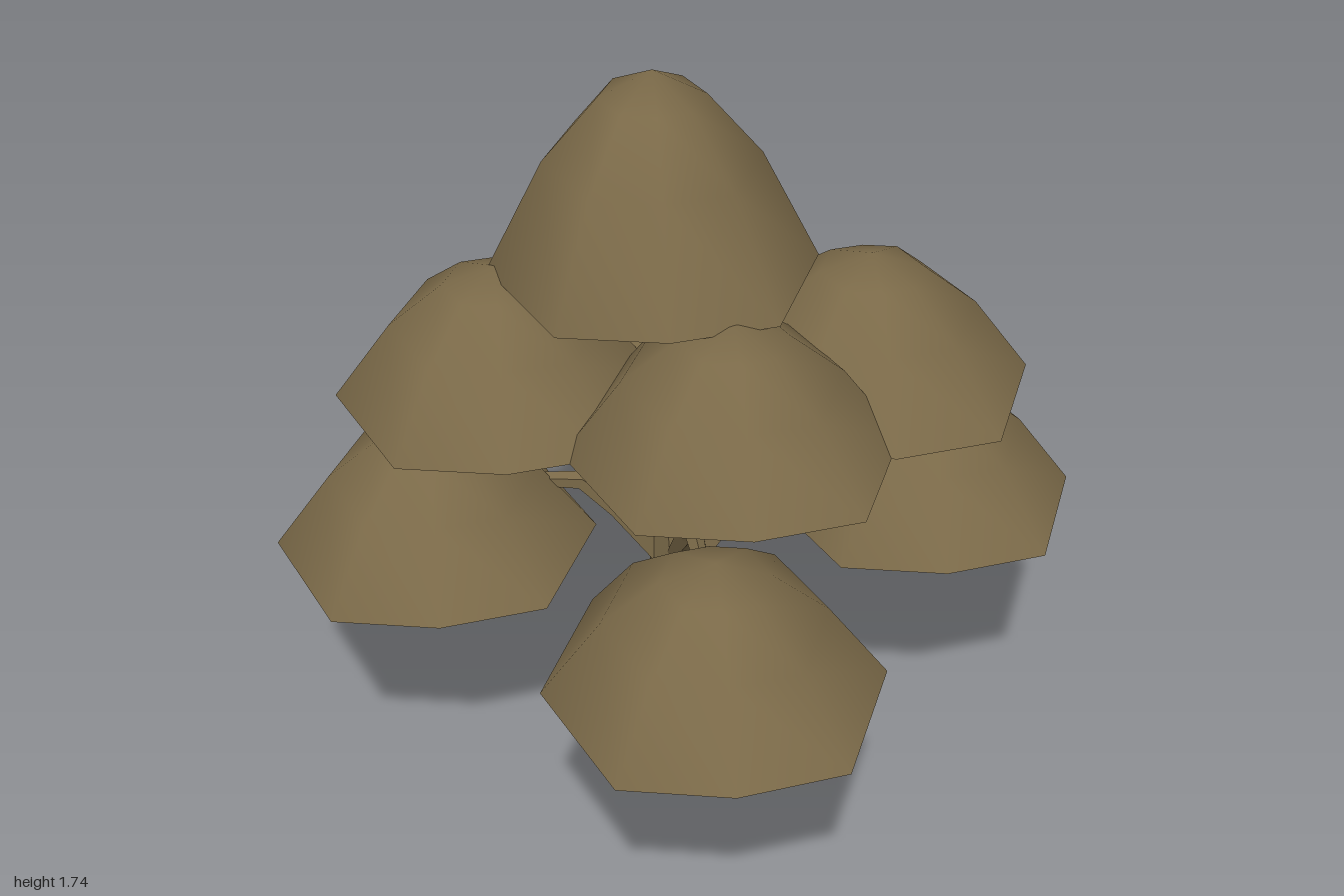
import * as THREE from 'three';
import { mergeVertices } from 'three/addons/utils/BufferGeometryUtils.js';

const V = (x, y, z) => new THREE.Vector3(x, y, z);

// Open dome with a slightly squared eight-sided outline
function domeGeometry(height) {
  const profile = [[1, 0], [0.65, 0.56], [0.32, 0.87], [0, 1]].map(([r, y]) => new THREE.Vector2(r, y * height));
  let g = new THREE.LatheGeometry(profile, 8);
  const p = g.attributes.position;
  for (let i = 0; i < p.count; i++) {
    const x = p.getX(i), z = p.getZ(i);
    const diagonal = Math.abs(x) > 0.01 && Math.abs(z) > 0.01;
    p.setX(i, x * (diagonal ? 0.34 : 0.375));
    p.setZ(i, z * (diagonal ? 0.467 : 0.38));
  }
  g.deleteAttribute('uv');
  g.deleteAttribute('normal');
  g = mergeVertices(g, 1e-4);
  g.computeVertexNormals();
  return g;
}

// Limb lofted through [centre, radius] rings, left open at both ends
function limbGeometry(rings, sides, upright) {
  const pos = [], index = [];
  rings.forEach(([c, r], i) => {
    const next = rings[Math.min(i + 1, rings.length - 1)][0], prev = rings[Math.max(i - 1, 0)][0];
    const dir = upright ? V(0, 1, 0) : next.clone().sub(prev).normalize();
    const q = new THREE.Quaternion().setFromUnitVectors(V(0, 1, 0), dir);
    for (let s = 0; s < sides; s++) {
      const a = (s + 0.5) / sides * Math.PI * 2;
      const v = V(Math.sin(a) * r, 0, Math.cos(a) * r).applyQuaternion(q).add(c);
      pos.push(v.x, v.y, v.z);
      if (i) {
        const n = (s + 1) % sides, a0 = (i - 1) * sides, b0 = i * sides;
        index.push(a0 + s, a0 + n, b0 + n, a0 + s, b0 + n, b0 + s);
      }
    }
  });
  let g = new THREE.BufferGeometry();
  g.setAttribute('position', new THREE.Float32BufferAttribute(pos, 3));
  g.setIndex(index);
  g = g.toNonIndexed();
  g.computeVertexNormals();
  return g;
}

export function createModel() {
  const tree = new THREE.Group();
  tree.name = 'tree';
  const brown = new THREE.MeshStandardMaterial({ color: 0x7a6948, side: THREE.DoubleSide });
  brown.name = 'olive brown';
  const add = (name, geometry, position) => {
    const mesh = new THREE.Mesh(geometry, brown);
    mesh.name = name;
    if (position) mesh.position.copy(position);
    tree.add(mesh);
  };

  // Trunk with a flared foot, tapering into the top dome
  add('trunk', limbGeometry([
    [V(-0.007, 0, -0.053), 0.163], [V(-0.007, 0.28, -0.043), 0.08],
    [V(-0.007, 0.46, -0.04), 0.078], [V(-0.02, 0.62, -0.03), 0.06],
    [V(-0.045, 0.9, -0.01), 0.055], [V(-0.055, 1.05, -0.03), 0.04],
    [V(-0.065, 1.5, -0.06), 0.022],
  ], 8, true));

  // Foliage domes: [x, rim height, z]
  const lower = [[-0.585, 0.61, -0.02], [0.58, 0.61, -0.11], [0, 0.61, 0.615], [0.075, 0.61, -0.62]];
  const middle = [[-0.42, 0.99, -0.04], [0.425, 0.99, -0.015], [0.075, 0.99, 0.27], [0.075, 0.99, -0.33]];
  const side = domeGeometry(0.31);
  lower.forEach(p => add('lowerFoliage', side, V(...p)));
  middle.forEach(p => add('middleFoliage', side, V(...p)));
  add('topFoliage', domeGeometry(0.46), V(-0.065, 1.28, -0.06));

  // Bent branch from the trunk into each side dome
  const branch = (name, start, [x, y, z], bend, rise, radius) => {
    const at = (t, h) => V(start.x + (x - start.x) * t, start.y + h, start.z + (z - start.z) * t);
    add(name, limbGeometry([
      [start, radius], [at(bend * 0.8, rise * 0.72), radius * 0.75],
      [at(bend * 1.25, rise), radius * 0.5], [at(0.85, rise + 0.03), radius * 0.22],
    ], 5, false));
  };
  lower.forEach(p => branch('lowerBranch', V(-0.007, 0.46, -0.04), p, 0.33, 0.27, 0.045));
  middle.forEach(p => branch('middleBranch', V(-0.045, 0.87, -0.01), p, 0.45, 0.25, 0.032));
  return tree;
}
